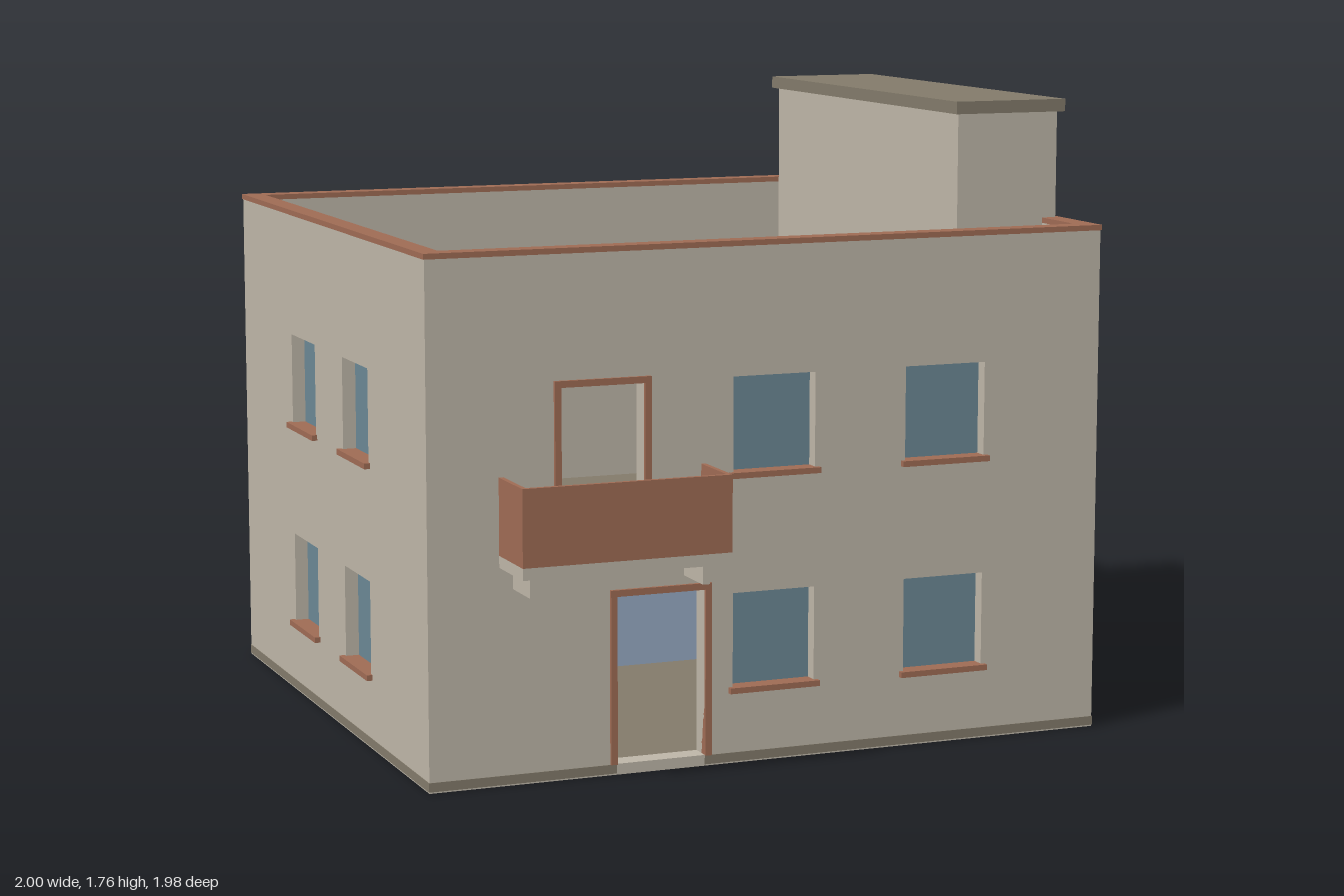
import * as THREE from 'three';

const mat = (name, color, side = THREE.FrontSide) => {
  const m = new THREE.MeshStandardMaterial({ color, side });
  m.name = name;
  return m;
};

export function createModel() {
  const plaster = mat('plaster', 0xbdb5a7);
  const concrete = mat('concrete', 0x827a6a);
  const terracotta = mat('terracotta', 0x9e6b54);
  const glass = mat('glass', 0x6b8794);
  const paint = mat('blueInteriorPaint', 0x96aac4);

  const X = 0.983, ZF = 0.8, ZB = -0.975, T = 0.055, TOP = 1.41;
  const root = new THREE.Group();
  root.name = 'house';

  // Box given by its min and max on each axis
  const box = (parent, name, m, x0, x1, y0, y1, z0, z1) => {
    const mesh = new THREE.Mesh(new THREE.BoxGeometry(x1 - x0, y1 - y0, z1 - z0), m);
    mesh.position.set((x0 + x1) / 2, (y0 + y1) / 2, (z0 + z1) / 2);
    mesh.name = name;
    parent.add(mesh);
    return mesh;
  };

  const rect = (C, x0, x1, y0, y1) => {
    const s = new C();
    s.moveTo(x0, y0);
    s.lineTo(x1, y0);
    s.lineTo(x1, y1);
    s.lineTo(x0, y1);
    s.closePath();
    return s;
  };

  // Flat panel with rectangular holes; its outer face lies on local z = 0
  const panel = (parent, name, m, r, holes, depth) => {
    const shape = rect(THREE.Shape, ...r);
    holes.forEach((h) => shape.holes.push(rect(THREE.Path, ...h)));
    const geo = new THREE.ExtrudeGeometry(shape, { depth, bevelEnabled: false });
    geo.translate(0, 0, -depth);
    const mesh = new THREE.Mesh(geo, m);
    mesh.name = name;
    parent.add(mesh);
    return mesh;
  };

  // Outer wall in local coordinates, facing +z, with windows and door openings
  const wall = (name, u0, u1, windows, doors) => {
    const g = new THREE.Group();
    g.name = name;
    const holes = windows.map(([u, y]) => [u - 0.12, u + 0.12, y, y + 0.26]);
    panel(g, 'wallPanel', plaster, [u0, u1, 0, TOP], [...holes, ...doors], T);
    windows.forEach(([u, y]) => {
      box(g, 'windowPane', glass, u - 0.12, u + 0.12, y, y + 0.26, -0.045, -0.038);
      box(g, 'windowSill', terracotta, u - 0.132, u + 0.132, y - 0.015, y + 0.001, -0.038, 0.016);
    });
    // Door frames: two jambs and a head
    doors.forEach(([a, b, c, d]) => {
      const f = 0.018;
      box(g, 'doorJamb', terracotta, a - f, a, c, d, -0.02, 0.01);
      box(g, 'doorJamb', terracotta, b, b + f, c, d, -0.02, 0.01);
      box(g, 'doorHead', terracotta, a - f, b + f, d, d + f, -0.02, 0.01);
    });
    root.add(g);
    return g;
  };

  // Four outer walls
  const rows = [0.21, 0.8];
  const grid = (us) => us.flatMap((u) => rows.map((y) => [u, y]));
  const balconyDoor = [-0.613, -0.377, 0.62, 1.058];
  const front = wall('frontWall', -X, X, grid([0, 0.51]), [[-0.457, -0.203, 0.03, 0.488], balconyDoor]);
  front.position.z = ZF;
  const back = wall('backWall', -X, X, [...grid([0, -0.51]), [0.515, 0.8]], [[0.203, 0.457, 0.03, 0.488]]);
  back.rotation.y = Math.PI;
  back.position.z = ZB;
  const right = wall('rightWall', -ZF + T, -ZB - T, grid([-0.17, 0.34]), []);
  right.rotation.y = Math.PI / 2;
  right.position.x = X;
  const left = wall('leftWall', ZB + T, ZF - T, grid([0.17, -0.34]), []);
  left.rotation.y = -Math.PI / 2;
  left.position.x = -X;

  // Plinth band and door thresholds
  const P = 0.0015;
  box(root, 'plinthFront', concrete, -X - P, X + P, 0.004, 0.029, ZF - 0.01, ZF + P);
  box(root, 'plinthBack', concrete, -X - P, X + P, 0.004, 0.029, ZB - P, ZB + 0.01);
  for (const s of [-1, 1]) {
    const x = s * (X - 0.004);
    box(root, 'plinthSide', concrete, x - 0.0055, x + 0.0055, 0.004, 0.029, ZB, ZF);
  }
  box(root, 'frontThreshold', plaster, -0.457, -0.203, 0.002, 0.031, ZF - T, ZF + 0.004);
  box(root, 'backThreshold', plaster, -0.457, -0.203, 0.002, 0.031, ZB - 0.004, ZB + T);

  // Floor slabs and roof deck
  const xi = X - T, zf = ZF - T, zb = ZB + T;
  box(root, 'groundSlab', concrete, -xi, xi, 0.001, 0.03, zb, zf);
  box(root, 'upperFloor', concrete, -xi, xi, 0.585, 0.615, zb, zf);
  box(root, 'roofDeck', concrete, -xi, xi, 1.165, 1.2, zb, zf);

  // Inner partition on both storeys, its top showing through the roof deck
  const lower = panel(root, 'lowerPartition', paint, [-xi, 0.49, 0.03, 0.585], [[-0.64, -0.4, 0.031, 0.46]], 0.035);
  const upper = panel(root, 'upperPartition', plaster, [-xi, 0.49, 0.615, 1.203], [[-0.64, -0.39, 0.616, 1.05]], 0.035);
  lower.position.z = upper.position.z = -0.27;

  // Parapet coping
  const c0 = TOP, c1 = 1.425, o = 0.003;
  box(root, 'copingFront', terracotta, -X - o, X + o, c0, c1, zf, ZF + o);
  box(root, 'copingBack', terracotta, -X - o, X + o, c0, c1, ZB - o, zb);
  box(root, 'copingLeft', terracotta, -X - o, -xi, c0, c1, zb, zf);
  box(root, 'copingRight', terracotta, xi, X + o, c0, c1, zb, zf);

  // Rooftop stair house, open at the back end
  const stair = new THREE.Group();
  stair.name = 'stairHouse';
  root.add(stair);
  const h = 1.725, w = 0.03;
  box(stair, 'stairSideInner', plaster, 0.66, 0.66 + w, 1.2, h, -0.68, 0.56);
  box(stair, 'stairSideOuter', plaster, 0.97 - w, 0.97, 1.2, h, -0.68, 0.56);
  box(stair, 'stairFrontEnd', plaster, 0.66 + w, 0.97 - w, 1.2, h, 0.56 - w, 0.56);
  box(stair, 'stairDoorLintel', plaster, 0.66 + w, 0.97 - w, 1.68, h, -0.68, -0.68 + w);
  box(stair, 'stairRoof', concrete, 0.645, 0.985, h, 1.76, -0.7, 0.58);

  // Balcony: slab, parapet and two brackets
  const balcony = new THREE.Group();
  balcony.name = 'balcony';
  root.add(balcony);
  const b0 = -0.785, b1 = -0.2, bz = 0.985, t = 0.013;
  box(balcony, 'balconySlab', plaster, b0, b1, 0.59, 0.622, ZF, bz);
  box(balcony, 'balconyFront', terracotta, b0, b1, 0.622, 0.83, bz - t, bz);
  box(balcony, 'balconySide', terracotta, b0, b0 + t, 0.622, 0.83, ZF, bz - t);
  box(balcony, 'balconySide', terracotta, b1 - t, b1, 0.622, 0.83, ZF, bz - t);
  for (const x of [-0.737, -0.252]) {
    box(balcony, 'balconyBracket', plaster, x - 0.01, x + 0.01, 0.53, 0.59, ZF, 0.933);
  }

  return root;
}
